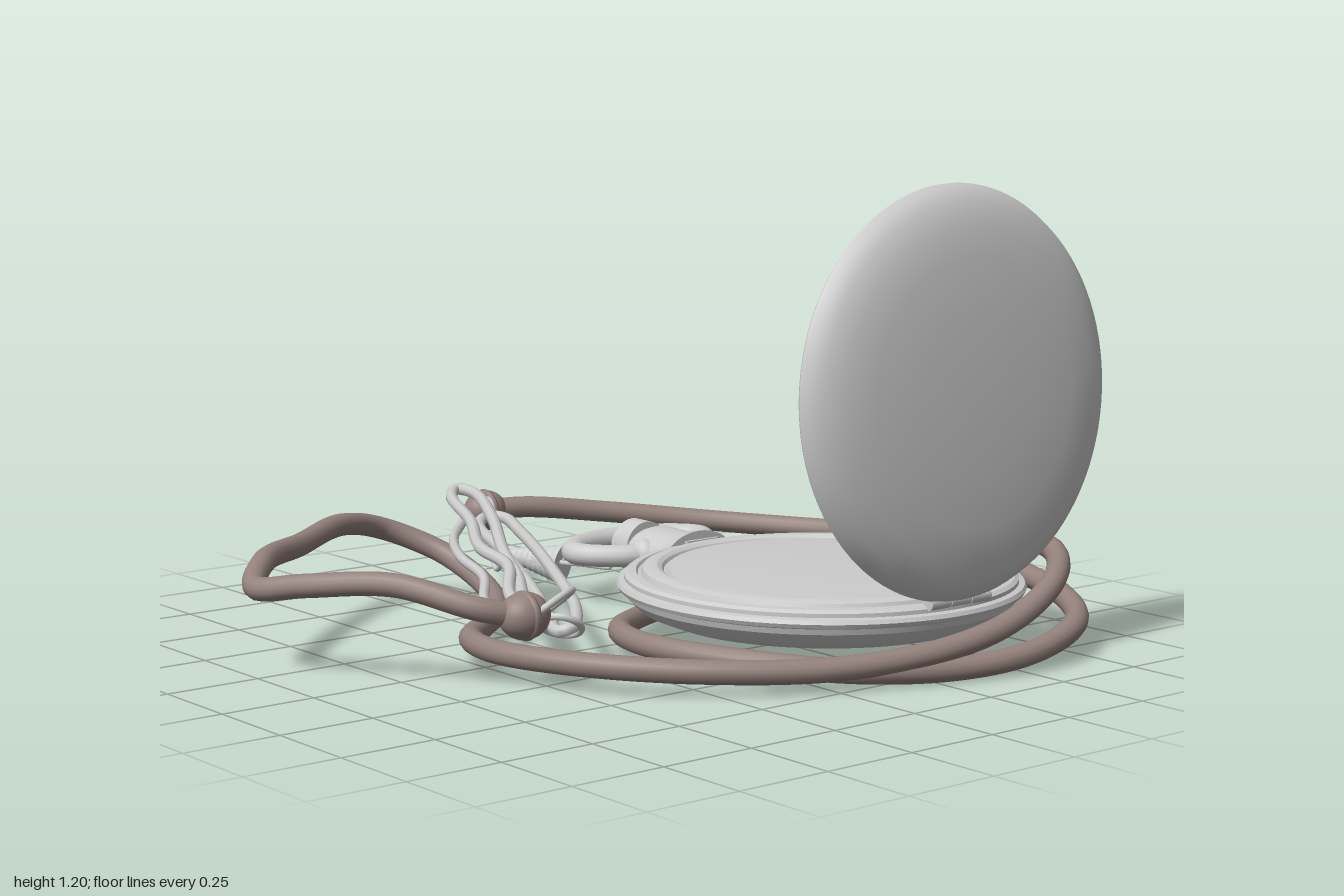
import * as THREE from 'three';
import { toCreasedNormals } from 'three/addons/utils/BufferGeometryUtils.js';

const metal = new THREE.MeshStandardMaterial({ color: 0xcccccc });
const leather = new THREE.MeshStandardMaterial({ color: 0x94827c });

const CX = 0.36, CZ = 0.28; // centre of the watch case

function add(parent, name, geometry, material = metal, pos = [0, 0, 0], rot = [0, 0, 0]) {
  const mesh = new THREE.Mesh(geometry, material);
  mesh.name = name;
  mesh.position.set(...pos);
  mesh.rotation.set(...rot);
  parent.add(mesh);
  return mesh;
}

function lathe(points, segments = 96, crease = 0.45) {
  const g = new THREE.LatheGeometry(points.map(p => new THREE.Vector2(p[0], p[1])), segments);
  return toCreasedNormals(g, crease);
}

function tube(points, radius, segments, sides = 10, closed = false) {
  const curve = new THREE.CatmullRomCurve3(points.map(p => new THREE.Vector3(...p)), closed);
  return new THREE.TubeGeometry(curve, segments, radius, sides, closed);
}

// Cylinder lying along z
function barrel(parent, name, r, length, pos, sides = 32) {
  return add(parent, name, new THREE.CylinderGeometry(r, r, length, sides), metal, pos, [Math.PI / 2, 0, 0]);
}

function buildWatch() {
  const watch = new THREE.Group();
  watch.name = 'watch';

  // Domed back, stepped bezel and shallow face
  add(watch, 'case', lathe([
    [0, 0.04], [0.2, 0.043], [0.32, 0.054], [0.41, 0.072], [0.47, 0.096], [0.5, 0.125],
    [0.505, 0.14], [0.52, 0.145], [0.525, 0.155], [0.52, 0.165], [0.505, 0.168],
    [0.505, 0.178], [0.495, 0.185], [0.475, 0.187], [0.47, 0.18],
    [0.462, 0.18], [0.457, 0.193], [0.44, 0.2], [0.42, 0.2], [0.408, 0.194],
    [0.403, 0.186], [0.396, 0.186], [0.392, 0.194], [0.3, 0.2], [0.15, 0.204], [0, 0.205],
  ]), metal, [CX, 0, CZ]);

  // Open lid, hollow on the side towards the face
  add(watch, 'lid', lathe([
    [0, 0.07], [0.2, 0.067], [0.34, 0.057], [0.42, 0.04], [0.468, 0.018], [0.475, 0.006],
    [0.487, 0], [0.502, 0], [0.507, 0.008], [0.495, 0.028], [0.465, 0.05], [0.41, 0.069],
    [0.33, 0.081], [0.2, 0.089], [0, 0.092],
  ]), metal, [0.355, 0.695, 0.755], [Math.PI / 2 - 0.05, 0, 0]);

  // Hinge knuckles
  for (const i of [-1, 0, 1]) {
    add(watch, 'hingeKnuckle', new THREE.CylinderGeometry(0.017, 0.017, 0.066, 16),
      metal, [CX + i * 0.068, 0.19, 0.775], [0, 0, Math.PI / 2]);
  }

  // Neck, collar, crown and latch
  const neck = add(watch, 'neck', lathe([
    [0, -0.1], [0.12, -0.1], [0.105, -0.07], [0.097, -0.03], [0.1, 0.08], [0.09, 0.1], [0, 0.1],
  ], 40), metal, [CX - 0.005, 0.14, -0.3], [-Math.PI / 2, 0, 0]);
  neck.scale.z = 0.65;
  barrel(watch, 'crownStem', 0.05, 0.04, [CX - 0.008, 0.14, -0.41]);
  barrel(watch, 'crown', 0.072, 0.065, [CX - 0.008, 0.14, -0.452]);
  barrel(watch, 'crownCap', 0.055, 0.025, [CX - 0.008, 0.14, -0.495]);
  add(watch, 'latch', new THREE.BoxGeometry(0.11, 0.02, 0.03), metal, [CX, 0.185, -0.205]);

  // Bow with a pivot lug on each side of the neck
  const half = [[0.085, 0, -0.34], [0.14, 0, -0.365], [0.2, 0, -0.425], [0.212, 0, -0.475], [0.165, 0, -0.535], [0.085, 0, -0.572]];
  const path = [...half, [0, 0, -0.582], ...half.map(([x, y, z]) => [-x, y, z]).reverse()];
  const bow = add(watch, 'bow', tube(path, 0.034, 90, 14), metal, [CX, 0.14, 0]);
  bow.scale.y = 0.9;
  for (const s of [-1, 1]) {
    const lug = add(watch, 'bowLug', new THREE.SphereGeometry(0.045, 20, 14), metal, [CX + s * 0.085, 0.14, -0.338]);
    lug.scale.x = 0.8;
  }
  return watch;
}

function buildCord() {
  const cord = new THREE.Group();
  cord.name = 'cord';
  // One long strand: right side, under the case, round again, then the loose side loop
  add(cord, 'cordStrand', tube([
    [0.12, 0.21, -0.855], [0.24, 0.21, -0.82], [0.45, 0.185, -0.735], [0.7, 0.155, -0.56],
    [0.87, 0.145, -0.34], [0.96, 0.155, -0.08], [0.968, 0.16, 0.12], [0.93, 0.14, 0.4],
    [0.87, 0.11, 0.65], [0.73, 0.085, 0.82], [0.52, 0.05, 0.87], [0.3, 0.035, 0.83],
    [0.06, 0.045, 0.73], [-0.12, 0.06, 0.52], [-0.2, 0.065, 0.28], [-0.14, 0.06, 0.08],
    [0.02, 0.05, -0.05], [0.25, 0.04, -0.16], [0.48, 0.035, -0.19], [0.68, 0.06, -0.165],
    [0.84, 0.11, -0.1], [0.91, 0.15, 0.02], [0.925, 0.195, 0.22], [0.89, 0.235, 0.45],
    [0.82, 0.235, 0.66], [0.68, 0.195, 0.79], [0.48, 0.125, 0.835], [0.25, 0.08, 0.815],
    [-0.02, 0.06, 0.725], [-0.28, 0.065, 0.57], [-0.46, 0.07, 0.36], [-0.545, 0.07, 0.12],
    [-0.5, 0.065, -0.06], [-0.36, 0.055, -0.2], [-0.2, 0.05, -0.36], [-0.105, 0.075, -0.55],
    [-0.125, 0.14, -0.72], [-0.25, 0.205, -0.81], [-0.42, 0.245, -0.755], [-0.65, 0.24, -0.605],
    [-0.87, 0.25, -0.425], [-0.965, 0.215, -0.305], [-0.91, 0.235, -0.17], [-0.78, 0.25, 0.02],
    [-0.66, 0.205, 0.185], [-0.56, 0.18, 0.23],
  ], 0.03, 420, 14), leather);

  // Knotted ends
  for (const [x, y, z, r] of [[0.12, 0.21, -0.855, 0.055], [-0.55, 0.18, 0.23, 0.058]]) {
    const knot = add(cord, 'cordKnot', new THREE.SphereGeometry(r, 24, 16), leather, [x, y, z]);
    knot.scale.x = 1.15;
    add(cord, 'knotBand', new THREE.TorusGeometry(r * 0.85, 0.012, 8, 28), leather, [x, y, z], [0, Math.PI / 2, 0]);
  }
  return cord;
}

function buildTrim() {
  const trim = new THREE.Group();
  trim.name = 'metalTrim';

  // Long bent wire loops hanging from the split ring
  add(trim, 'straightLoop', tube([
    [-0.43, 0.14, 0.26], [-0.35, 0.16, 0.17], [-0.2, 0.2, -0.13], [-0.05, 0.225, -0.46],
    [0.008, 0.235, -0.62], [-0.015, 0.235, -0.655], [-0.07, 0.225, -0.62], [-0.18, 0.2, -0.36],
    [-0.3, 0.17, -0.08], [-0.4, 0.14, 0.13], [-0.455, 0.13, 0.24],
  ], 0.016, 120, 8, true));
  add(trim, 'wavyLoop', tube([
    [-0.5, 0.15, 0.19], [-0.46, 0.19, 0.05], [-0.37, 0.23, -0.08], [-0.34, 0.25, -0.24],
    [-0.24, 0.28, -0.42], [-0.16, 0.31, -0.62], [-0.11, 0.32, -0.665], [-0.095, 0.315, -0.61],
    [-0.17, 0.28, -0.42], [-0.26, 0.23, -0.25], [-0.31, 0.19, -0.12], [-0.4, 0.16, 0.03],
    [-0.45, 0.13, 0.17],
  ], 0.016, 140, 8, true));
  add(trim, 'thinWire', tube([
    [-0.54, 0.15, 0.12], [-0.5, 0.17, 0], [-0.41, 0.2, -0.13], [-0.37, 0.22, -0.28],
    [-0.26, 0.23, -0.47], [-0.14, 0.24, -0.6],
  ], 0.013, 70, 8));
  add(trim, 'splitRing', new THREE.TorusGeometry(0.085, 0.009, 8, 40), metal, [-0.48, 0.18, 0.215], [Math.PI / 2 - 0.6, 0.35, 0]);
  add(trim, 'smallRing', new THREE.TorusGeometry(0.05, 0.009, 8, 32), metal, [-0.44, 0.14, 0.23], [1.1, -0.5, 0]);

  // Ridged conical tassel cap with its links
  const ridges = [[0, 0]];
  for (let i = 0; i < 9; i++) {
    const r = 0.012 + i * 0.0045;
    ridges.push([r, i * 0.02], [r + 0.005, i * 0.02 + 0.01]);
  }
  ridges.push([0.055, 0.185], [0, 0.185]);
  const cone = add(trim, 'tasselCone', lathe(ridges, 24), metal, [0.105, 0.105, -0.74]);
  cone.quaternion.setFromUnitVectors(new THREE.Vector3(0, 1, 0), new THREE.Vector3(0.075, -0.015, 0.18).normalize());
  cone.scale.x = 0.9;
  add(trim, 'tailLink', tube([
    [0.165, 0.1, -0.57], [0.19, 0.1, -0.5], [0.225, 0.1, -0.42], [0.225, 0.11, -0.46], [0.195, 0.11, -0.56],
  ], 0.007, 50, 8, true));
  add(trim, 'knotRing', new THREE.TorusGeometry(0.058, 0.007, 8, 36), metal, [0.105, 0.19, -0.82], [0, Math.PI / 2 - 0.3, 0]);
  add(trim, 'hangingRing', new THREE.TorusGeometry(0.045, 0.007, 8, 32), metal, [0.1, 0.1, -0.775], [0, Math.PI / 2 - 0.35, 0]);
  return trim;
}

export function createModel() {
  const model = new THREE.Group();
  model.name = 'pocketWatch';
  model.add(buildWatch(), buildCord(), buildTrim());
  return model;
}
